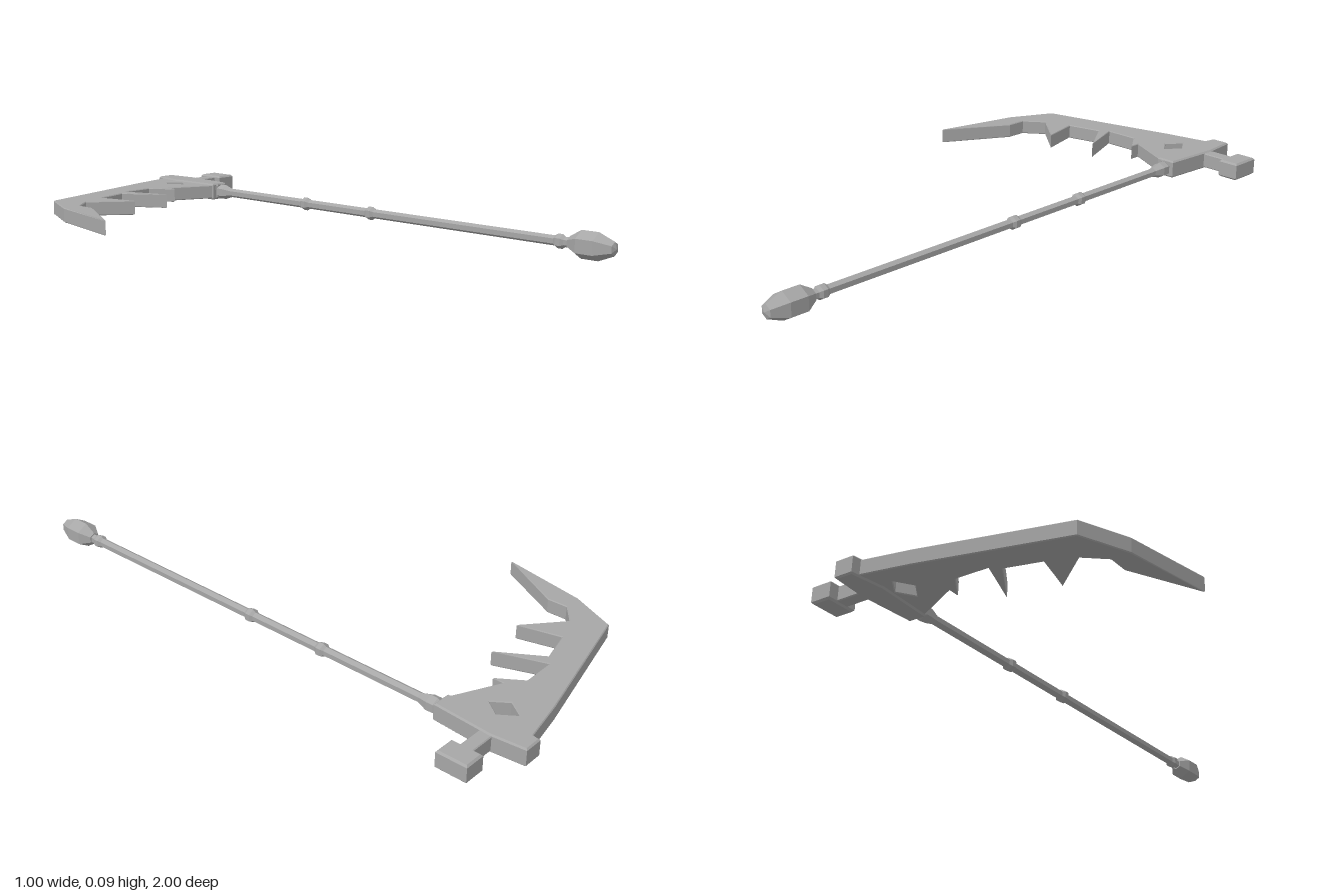
import * as THREE from 'three';

const CENTRE_Y = 0.044; // height of the weapon's mid-plane as it lies flat
const SHAFT_X = 0.3;

// Flat plate from an (x, z) outline, with a fine chamfer on its edges
function plate(name, outline, height, material, bevel, hole) {
  const toPoints = (list) => list.map(([x, z]) => new THREE.Vector2(x, z));
  const shape = new THREE.Shape(toPoints(outline));
  if (hole) shape.holes.push(new THREE.Path(toPoints(hole)));
  const geometry = new THREE.ExtrudeGeometry(shape, {
    depth: height - 2 * bevel,
    bevelEnabled: true,
    bevelThickness: bevel,
    bevelSize: bevel,
    bevelOffset: -bevel,
    bevelSegments: 1,
  });
  geometry.translate(0, 0, bevel - height / 2);
  geometry.rotateX(Math.PI / 2);
  const mesh = new THREE.Mesh(geometry, material);
  mesh.name = name;
  mesh.position.y = CENTRE_Y;
  return mesh;
}

// Six-sided turned part along z, from [radius, z] pairs
function turned(name, profile, material) {
  const points = profile.map(([r, z]) => new THREE.Vector2(r, z));
  const geometry = new THREE.LatheGeometry(points, 6).toNonIndexed();
  geometry.rotateX(Math.PI / 2);
  geometry.computeVertexNormals();
  const mesh = new THREE.Mesh(geometry, material);
  mesh.name = name;
  mesh.position.set(SHAFT_X, CENTRE_Y, 0);
  return mesh;
}

const rect = (x0, x1, z0, z1) => [[x0, z0], [x1, z0], [x1, z1], [x0, z1]];

export function createModel() {
  const model = new THREE.Group();
  model.name = 'scythe';
  const grey = new THREE.MeshStandardMaterial({ color: 0xa6a6a6 });
  grey.name = 'grey metal';

  // Toothed blade with a diamond cut-out
  const bladeOutline = [
    [0.29, -0.977], [0.11, -0.942], [-0.367, -0.826], [-0.44, -0.67], [-0.5, -0.37],
    [-0.372, -0.6], [-0.372, -0.67], [-0.305, -0.723], [-0.175, -0.615], [-0.21, -0.757],
    [-0.093, -0.786], [0, -0.645], [-0.06, -0.81], [0.055, -0.81], [0.112, -0.73],
    [0.112, -0.767], [0.29, -0.68],
  ];
  const diamond = [[0.214, -0.894], [0.251, -0.841], [0.214, -0.79], [0.177, -0.841]];
  model.add(plate('blade', bladeOutline, 0.05, grey, 0.003, diamond));

  // Head block that joins blade, shaft and hammer
  const headOutline = [
    [0.271, -1], [0.335, -1], [0.346, -0.885], [0.332, -0.685], [0.267, -0.685], [0.254, -0.885],
  ];
  model.add(plate('headBlock', headOutline, 0.06, grey, 0.005));

  // Hammer on the back of the head
  model.add(plate('hammerNeck', rect(0.32, 0.44, -0.892, -0.848), 0.05, grey, 0.003));
  model.add(plate('hammerHead', rect(0.428, 0.5, -0.925, -0.82), 0.06, grey, 0.006));

  // Shaft with its collars
  model.add(turned('shaft', [[0.016, -0.7], [0.016, 0.86]], grey));
  model.add(turned('headCollar', [
    [0.016, -0.69], [0.027, -0.675], [0.027, -0.65], [0.016, -0.615],
  ], grey));
  for (const z of [-0.235, 0.065, 0.81]) {
    model.add(turned('shaftRing', [
      [0.016, z - 0.018], [0.023, z - 0.008], [0.023, z + 0.008], [0.016, z + 0.018],
    ], grey));
  }

  // Faceted pommel
  model.add(turned('pommel', [
    [0, 0.842], [0.02, 0.842], [0.044, 0.882], [0.044, 0.94], [0.022, 0.993], [0, 1],
  ], grey));

  return model;
}
